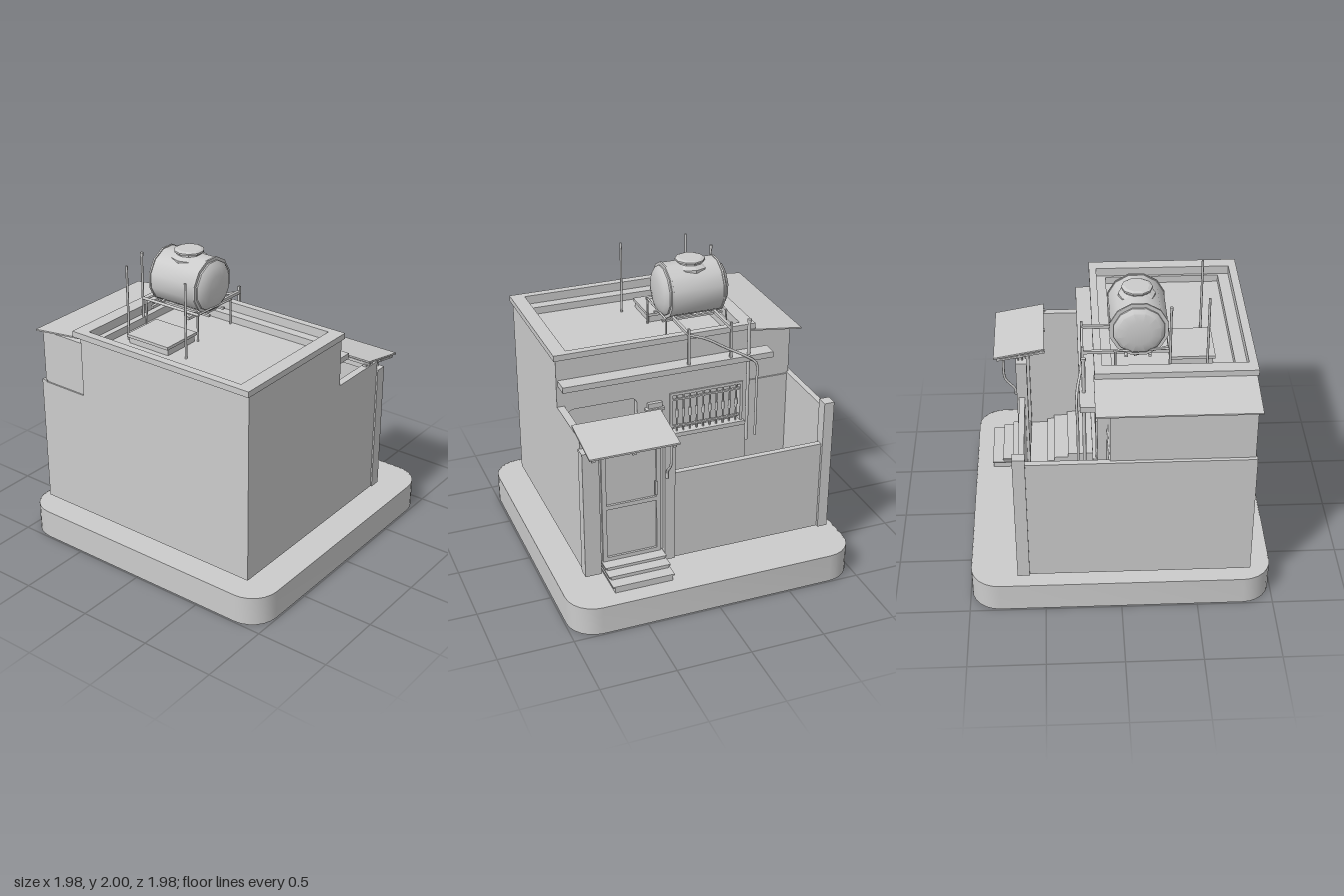
import * as THREE from 'three';
import { toCreasedNormals } from 'three/addons/utils/BufferGeometryUtils.js';

export function createModel() {
  const model = new THREE.Group();
  const grey = new THREE.MeshStandardMaterial({ color: 0xcccccc });
  const thin = new THREE.MeshStandardMaterial({ color: 0xcccccc, side: THREE.DoubleSide });

  const add = (name, geometry, material = grey) => {
    const mesh = new THREE.Mesh(geometry, material);
    mesh.name = name;
    model.add(mesh);
    return mesh;
  };
  // Box from its limits on each axis
  const box = (name, x0, x1, y0, y1, z0, z1) => {
    const mesh = add(name, new THREE.BoxGeometry(x1 - x0, y1 - y0, z1 - z0));
    mesh.position.set((x0 + x1) / 2, (y0 + y1) / 2, (z0 + z1) / 2);
    return mesh;
  };
  // Round rod between two points
  const rod = (name, a, b, r = 0.007) => {
    const p = new THREE.Vector3(...a), d = new THREE.Vector3(...b).sub(p);
    const mesh = add(name, new THREE.CylinderGeometry(r, r, d.length(), 8));
    mesh.position.copy(p).addScaledVector(d, 0.5);
    mesh.quaternion.setFromUnitVectors(new THREE.Vector3(0, 1, 0), d.normalize());
    return mesh;
  };
  const pipe = (name, points, r) => {
    const curve = new THREE.CatmullRomCurve3(points.map(p => new THREE.Vector3(...p)), false, 'centripetal');
    return add(name, new THREE.TubeGeometry(curve, 28, r, 8), thin);
  };
  const rect = (Type, x0, x1, y0, y1) => {
    const s = new Type();
    s.moveTo(x0, y0).lineTo(x1, y0).lineTo(x1, y1).lineTo(x0, y1).closePath();
    return s;
  };
  // Horizontal rectangular ring with a rectangular opening
  const ring = (name, outer, inner, y0, y1) => {
    const s = rect(THREE.Shape, outer[0], outer[1], -outer[3], -outer[2]);
    s.holes.push(rect(THREE.Path, inner[0], inner[1], -inner[3], -inner[2]));
    const mesh = add(name, new THREE.ExtrudeGeometry(s, { depth: y1 - y0, bevelEnabled: false }).rotateX(-Math.PI / 2));
    mesh.position.y = y0;
  };
  // Sloping sheet: a profile in x-y or z-y, given a thickness downwards
  const slab = (name, [u0, v0], [u1, v1], t, w0, w1, alongX) => {
    const s = new THREE.Shape([[u0, v0 - t], [u1, v1 - t], [u1, v1], [u0, v0]].map(p => new THREE.Vector2(...p)));
    const g = new THREE.ExtrudeGeometry(s, { depth: w1 - w0, bevelEnabled: false }).translate(0, 0, w0);
    if (alongX) g.applyMatrix4(new THREE.Matrix4().set(0, 0, 1, 0, 0, 1, 0, 0, 1, 0, 0, 0, 0, 0, 0, 1));
    return add(name, g, thin);
  };

  // Base: hollow plinth, open underneath
  const plate = (Type, h, r) => {
    const s = new Type();
    s.moveTo(-h + r, -h).lineTo(h - r, -h).absarc(h - r, -h + r, r, -Math.PI / 2, 0)
      .absarc(h - r, h - r, r, 0, Math.PI / 2).absarc(-h + r, h - r, r, Math.PI / 2, Math.PI)
      .absarc(-h + r, -h + r, r, Math.PI, Math.PI * 1.5);
    return s;
  };
  const rim = plate(THREE.Shape, 0.99, 0.19);
  rim.holes.push(plate(THREE.Path, 0.985, 0.185));
  const rimGeo = new THREE.ExtrudeGeometry(rim, { depth: 0.2, bevelEnabled: false, curveSegments: 3 });
  add('baseRim', toCreasedNormals(rimGeo.rotateX(-Math.PI / 2), 0.7));
  add('baseTop', new THREE.ShapeGeometry(plate(THREE.Shape, 0.99, 0.19), 3).rotateX(-Math.PI / 2), thin).position.y = 0.199;

  // Main house and its rear wall with window and doorway
  box('houseBody', -0.54, 0.8, 0.23, 1.47, -0.09, 0.85);
  const wall = rect(THREE.Shape, -0.54, 0.8, 0.23, 1.47);
  wall.holes.push(rect(THREE.Path, -0.5, 0.01, 0.86, 1.15));
  const doorway = new THREE.Path();
  doorway.moveTo(0.25, 0.34).lineTo(0.73, 0.34).lineTo(0.73, 1.12).quadraticCurveTo(0.73, 1.17, 0.68, 1.17)
    .lineTo(0.3, 1.17).quadraticCurveTo(0.25, 1.17, 0.25, 1.12).closePath();
  wall.holes.push(doorway);
  add('rearWall', new THREE.ExtrudeGeometry(wall, { depth: 0.05, bevelEnabled: false })).position.z = -0.14;

  // Parapet
  ring('parapetWall', [-0.54, 0.8, -0.14, 0.85], [-0.45, 0.7, -0.04, 0.745], 1.47, 1.52);
  ring('parapetUpper', [-0.54, 0.8, -0.14, 0.85], [-0.49, 0.72, -0.105, 0.82], 1.52, 1.54);
  ring('parapetCap', [-0.585, 0.815, -0.155, 0.875], [-0.49, 0.72, -0.105, 0.82], 1.54, 1.58);
  box('rearLedge', -0.68, 0.79, 1.355, 1.395, -0.25, -0.14);

  // Side annex with lean-to roof
  box('annexLower', -0.91, -0.54, 0.23, 1.12, -0.08, 0.85);
  box('annexUpper', -0.885, -0.54, 1.12, 1.49, -0.07, 0.84);
  slab('annexRoof', [-0.925, 1.495], [-0.54, 1.542], 0.01, -0.16, 0.865, false);

  // Courtyard walls, posts and floor
  box('courtyardFloor', -0.88, 0.78, 0.23, 0.25, -0.63, -0.14);
  box('leftYardWall', -0.91, -0.87, 0.23, 1.13, -0.6, 0.85);
  box('rightYardWall', 0.75, 0.8, 0.23, 1.205, -0.6, -0.14);
  box('rearYardWall', -0.86, 0.2, 0.23, 0.87, -0.66, -0.62);
  box('cornerPost', -0.925, -0.855, 0.23, 1.18, -0.68, -0.6);
  box('gatePostRight', 0.19, 0.26, 0.23, 1.15, -0.675, -0.6);
  box('gatePostLeft', 0.7, 0.81, 0.23, 1.14, -0.675, -0.595);

  // Gate
  box('gatePanel', 0.26, 0.7, 0.3, 1.12, -0.64, -0.625);
  for (const x of [0.28, 0.65]) box('gateStile', x, x + 0.03, 0.3, 1.12, -0.655, -0.625);
  for (const y of [0.3, 0.69, 1.07]) box('gateRail', 0.28, 0.68, y, y + 0.03, -0.655, -0.625);
  box('gateLintel', 0.26, 0.7, 1.11, 1.15, -0.665, -0.61);
  box('gateHandle', 0.31, 0.325, 0.74, 0.84, -0.67, -0.655);

  // Steps outside the gate and up to the house door
  [[-0.875, 0.25], [-0.8, 0.278], [-0.73, 0.302]].forEach(([z, y]) => {
    box('frontStep', 0.28, 0.675, 0.2, y - 0.01, z + 0.006, -0.6);
    box('frontStepTread', 0.27, 0.69, y - 0.01, y, z, -0.6);
  });
  [[-0.48, 0.28], [-0.43, 0.31], [-0.33, 0.34]].forEach(([z, y]) => box('innerStep', 0.23, 0.75, 0.25, y, z, -0.14));

  // Gate canopy on a light frame
  slab('canopySheet', [-0.825, 1.185], [-0.48, 1.25], 0.012, 0.215, 0.81, true);
  for (const x of [0.23, 0.5, 0.765]) slab('canopyRafter', [-0.805, 1.162], [-0.47, 1.222], 0.014, x, x + 0.025, true);
  for (const [z, y] of [[-0.79, 1.178], [-0.65, 1.203], [-0.5, 1.23]]) box('canopyPurlin', 0.225, 0.8, y - 0.02, y, z - 0.01, z + 0.01);
  for (const x of [0.225, 0.755]) for (const z of [-0.655, -0.63]) rod('canopySupport', [x + 0.015, 1.13, z], [x + 0.015, 1.2, z], 0.006);
  pipe('canopyDrain', [[0.25, 1.16, -0.76], [0.25, 1.02, -0.758], [0.25, 0.98, -0.745], [0.25, 0.92, -0.695], [0.25, 0.9, -0.685], [0.25, 0.86, -0.683]], 0.009);

  // Barred window
  box('windowSill', -0.52, 0.03, 0.835, 0.865, -0.17, -0.1);
  box('windowHead', -0.51, 0.02, 1.14, 1.16, -0.15, -0.1);
  for (const x of [-0.51, 0.0]) box('windowJamb', x, x + 0.02, 0.86, 1.15, -0.15, -0.1);
  for (const y of [0.9, 1.1]) box('windowGrilleRail', -0.49, 0, y, y + 0.012, -0.145, -0.13);
  for (let i = 0; i < 10; i++) {
    const x = -0.465 + i * 0.048;
    rod('windowBar', [x, 0.86, -0.138], [x, 1.14, -0.138], 0.006);
    rod('windowBarKnob', [x, 0.97, -0.138], [x, 1.03, -0.138], 0.011);
  }

  // Utility boxes beside the door
  box('meterBox', 0.08, 0.18, 1.03, 1.12, -0.165, -0.14);
  box('meterHood', 0.07, 0.2, 1.07, 1.085, -0.18, -0.14);
  box('meterShelf', 0.07, 0.2, 0.95, 1.0, -0.17, -0.14);

  // Water tank lying along x, with a filler neck
  const profile = (points) => points.map(p => new THREE.Vector2(...p));
  const tankGeo = new THREE.LatheGeometry(profile([
    [0, -0.24], [0.08, -0.237], [0.14, -0.225], [0.165, -0.2], [0.165, -0.185], [0.186, -0.175],
    [0.186, 0.175], [0.17, 0.185], [0.17, 0.2], [0.14, 0.225], [0.08, 0.237], [0, 0.24]]), 12);
  const tank = add('tankBody', toCreasedNormals(tankGeo, 0.6), thin);
  tank.rotation.set(Math.PI / 12, 0, -Math.PI / 2);
  tank.position.set(-0.223, 1.787, 0.13);
  for (const x of [-0.405, -0.04]) {
    const band = add('tankBand', new THREE.CylinderGeometry(0.191, 0.191, 0.012, 12));
    band.rotation.set(Math.PI / 12, 0, -Math.PI / 2);
    band.position.set(x, 1.787, 0.13);
  }
  const neck = add('tankNeck', new THREE.LatheGeometry(profile([
    [0.07, 1.9], [0.118, 1.925], [0.118, 1.945], [0.085, 1.965], [0.085, 1.975], [0.1, 1.98], [0.1, 1.992], [0.08, 2], [0, 2]]), 10).toNonIndexed(), thin);
  neck.geometry.computeVertexNormals();
  neck.position.set(-0.225, 0, 0.125);

  // Tank stand, reaching back over the ledge
  for (const x of [-0.38, -0.08]) {
    box('standBeam', x - 0.01, x + 0.01, 1.6, 1.62, -0.23, 0.33);
    box('standRearLeg', x - 0.008, x + 0.008, 1.395, 1.65, -0.233, -0.217);
    rod('standBrace', [x, 1.58, 0.1], [x, 1.64, 0.32]);
  }
  for (const z of [0.05, 0.2]) box('standCrossBar', -0.43, 0, 1.598, 1.612, z - 0.01, z + 0.01);
  rod('standFrontRail', [-0.46, 1.655, 0.325], [0.01, 1.655, 0.325], 0.01);
  for (const x of [-0.43, 0]) {
    rod('standFrontLeg', [x, 1.47, 0.325], [x, 1.66, 0.325]);
    rod('standMiddleLeg', [x, 1.47, -0.02], [x, 1.65, -0.02]);
    rod('standSideRail', [x, 1.645, -0.03], [x, 1.655, 0.325]);
  }

  // Roof hatch and upright poles
  box('roofHatch', -0.335, -0.015, 1.47, 1.515, 0.34, 0.61);
  box('roofHatchLid', -0.345, -0.005, 1.515, 1.535, 0.33, 0.625);
  for (const x of [-0.375, 0.1]) rod('roofPole', [x, 1.47, 0.57], [x, 1.98, 0.57], 0.008);
  rod('standPole', [-0.46, 1.52, 0.325], [-0.46, 1.97, 0.325], 0.008);
  rod('standPoleCap', [-0.46, 1.95, 0.325], [-0.46, 1.975, 0.325], 0.011);

  // Pipes running from the tank down the rear wall
  pipe('tankHose', [[-0.07, 1.61, -0.222], [-0.2, 1.56, -0.225], [-0.35, 1.47, -0.235], [-0.48, 1.4, -0.262], [-0.55, 1.34, -0.27], [-0.555, 1.2, -0.265], [-0.555, 0.8, -0.265]], 0.009);
  rod('ventPipe', [-0.51, 0.75, -0.222], [-0.51, 1.65, -0.222], 0.012);
  rod('ventPipeCap', [-0.51, 1.63, -0.222], [-0.51, 1.65, -0.222], 0.016);

  return model;
}
